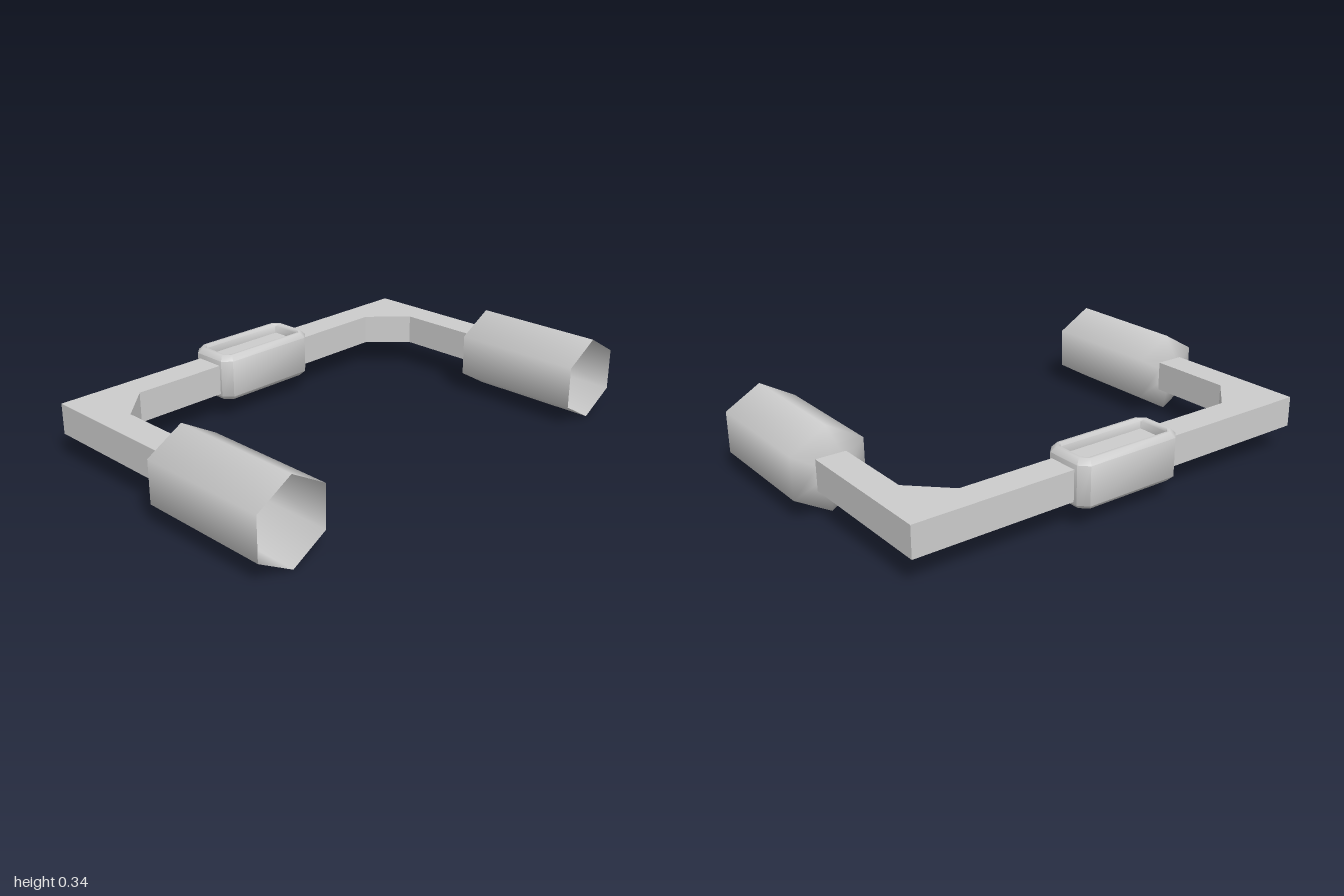
import * as THREE from 'three';
import { mergeVertices, toCreasedNormals } from 'three/addons/utils/BufferGeometryUtils.js';

const material = new THREE.MeshStandardMaterial({ color: 0xcccccc, side: THREE.DoubleSide });

function addMesh(parent, name, geometry) {
  const mesh = new THREE.Mesh(geometry, material);
  mesh.name = name;
  parent.add(mesh);
  return mesh;
}

// Square-section U frame with diagonal braces in the inner corners
function frameGeometry() {
  const half = [[0.915, 0.055], [0.915, -0.58]];
  const inner = [[0.643, -0.455], [0.79, -0.31], [0.79, 0.055]];
  const mirror = pts => pts.map(([x, z]) => [-x, z]).reverse();
  const outline = [...half, ...mirror(half), ...mirror(inner), ...mirror(mirror(inner.slice().reverse())).reverse()];
  const shape = new THREE.Shape(outline.map(([x, z]) => new THREE.Vector2(x, -z)));
  const geometry = new THREE.ExtrudeGeometry(shape, { depth: 0.126, bevelEnabled: false });
  return geometry.rotateX(-Math.PI / 2).translate(0, 0.112, 0);
}

// Six-sided open cup with a shallow tapered back
function cupGeometry() {
  const profile = [[0, 0.056], [0.065, 0.056], [0.172, 0.08], [0.172, 0.63]];
  const geometry = new THREE.LatheGeometry(profile.map(p => new THREE.Vector2(...p)), 6);
  return geometry.rotateX(Math.PI / 2);
}

// Block with softened edges and a rectangular recess, lofted through chamfered rectangles
function blockGeometry() {
  const rings = [ // height, inset, corner cut
    [0.082, 0.11, 0.0], [0.082, 0.02, 0.03], [0.103, 0, 0.035], [0.259, 0, 0.035],
    [0.28, 0.018, 0.03], [0.28, 0.03, 0.02], [0.27, 0.04, 0.006],
    [0.24, 0.042, 0.004], [0.24, 0.11, 0],
  ];
  const positions = [], index = [];
  for (const [y, inset, cut] of rings) {
    const a = 0.24 - inset, b = 0.11 - inset;
    const loop = [[a, b - cut], [a - cut, b], [cut - a, b], [-a, b - cut],
      [-a, cut - b], [cut - a, -b], [a - cut, -b], [a, cut - b]];
    loop.forEach(([x, z]) => positions.push(x, y, z));
  }
  for (let r = 0; r < rings.length - 1; r++) {
    for (let i = 0; i < 8; i++) {
      const a = r * 8 + i, b = r * 8 + (i + 1) % 8;
      index.push(a, a + 8, b, b, a + 8, b + 8);
    }
  }
  const geometry = new THREE.BufferGeometry();
  geometry.setAttribute('position', new THREE.Float32BufferAttribute(positions, 3));
  geometry.setIndex(index);
  return toCreasedNormals(mergeVertices(geometry), 0.95);
}

export function createModel() {
  const model = new THREE.Group();
  model.name = 'handleFrame';

  addMesh(model, 'frame', frameGeometry());
  addMesh(model, 'centreBlock', blockGeometry()).position.set(0, 0, -0.52);

  // Matching cups on the ends of both arms
  for (const side of [-1, 1]) {
    addMesh(model, side > 0 ? 'leftCup' : 'rightCup', cupGeometry()).position.set(side * 0.851, 0.174, 0);
  }
  return model;
}
